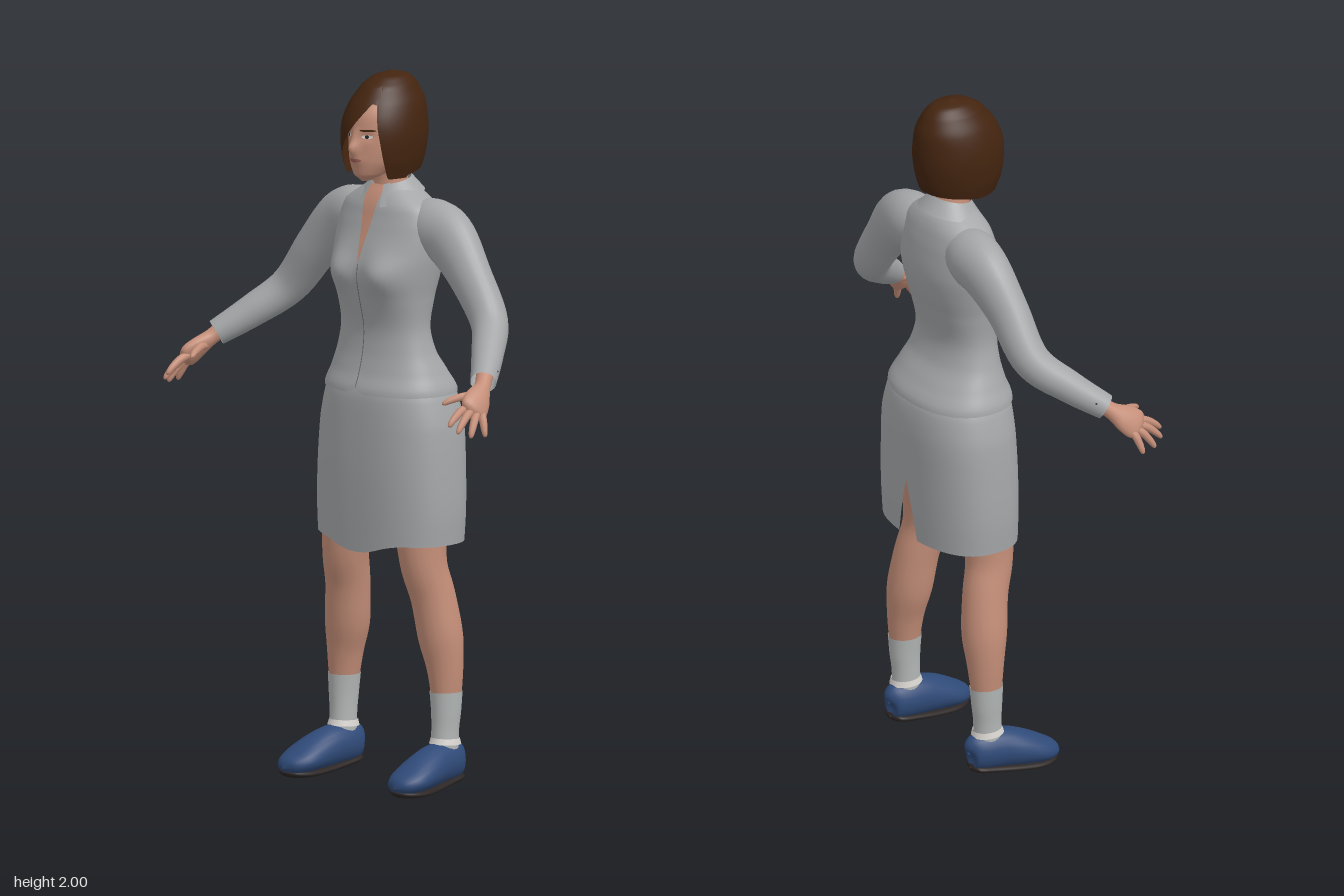
import * as THREE from 'three';
import { mergeVertices } from 'three/addons/utils/BufferGeometryUtils.js';

const mat = (name, color) => new THREE.MeshStandardMaterial({ name, color, side: THREE.DoubleSide });
const M = {
  cloth: mat('grey cloth', 0xa4a6a8), skin: mat('skin', 0xc48e78), hair: mat('brown hair', 0x43240f),
  shoe: mat('blue shoe', 0x2f4a78), sole: mat('dark sole', 0x2b2524), sock: mat('pale sock', 0xb2b6b5),
  lips: mat('lips', 0xa0605a), eye: mat('eye white', 0xd8d4d0), seam: mat('seam grey', 0x6c6e70),
};
const gauss = (x, s) => Math.exp(-((x / s) ** 2));

// Smooth interpolation through rows of numbers, t from 0 to 1
function along(rows, t) {
  const f = t * (rows.length - 1), i = Math.min(Math.floor(f), rows.length - 2), k = f - i;
  const at = (j) => rows[Math.max(0, Math.min(rows.length - 1, j))];
  return rows[i].map((_, c) => {
    const [a, b, d, e] = [at(i - 1)[c], at(i)[c], at(i + 1)[c], at(i + 2)[c]];
    return b + 0.5 * k * (d - a + k * (2 * a - 5 * b + 4 * d - e + k * (3 * (b - d) + e - a)));
  });
}
// Row [y, halfWidth, zFront, zBack] at a height, for rows listed from top to bottom
function atHeight(rows, y) {
  let i = 0;
  while (i < rows.length - 2 && y < rows[i + 1][0]) i++;
  const k = THREE.MathUtils.clamp((rows[i][0] - y) / (rows[i][0] - rows[i + 1][0]), 0, 1);
  return along(rows, (i + k) / (rows.length - 1));
}
const pw = (v, p) => Math.sign(v) * Math.abs(v) ** p;
// Point on a horizontal section at angle a (0 is the front)
function section(rows, y, a, p = 1, bump = () => 0) {
  const [, w, f, b] = atHeight(rows, y), x = Math.max(w, 0) * pw(Math.sin(a), p), c = pw(Math.cos(a), p);
  return [x, y, (f + b) / 2 + ((f - b) / 2) * c + (c > 0 ? bump(x, y) * Math.min(1, c * 2) : 0)];
}
// Surface from a rule fn(u, v): u runs to the right, v runs down
function grid(nu, nv, fn) {
  const pos = [], idx = [];
  for (let j = 0; j <= nv; j++) for (let i = 0; i <= nu; i++) pos.push(...fn(i / nu, j / nv));
  for (let j = 0; j < nv; j++) for (let i = 0; i < nu; i++) {
    const a = j * (nu + 1) + i, b = a + nu + 1;
    idx.push(a, b, a + 1, b, b + 1, a + 1);
  }
  const g = new THREE.BufferGeometry();
  g.setAttribute('position', new THREE.Float32BufferAttribute(pos, 3));
  g.setIndex(idx);
  const m = mergeVertices(g, 1e-5);
  m.computeVertexNormals();
  return m;
}
// Elliptical sweep through stations [x, y, z, radius toward ref, radius across]
function sweep(st, ref = [0, 0, 1], nu = 20, nv = 28) {
  const P = (t) => new THREE.Vector3(...along(st, THREE.MathUtils.clamp(t, 0, 1)));
  return grid(nu, nv, (u, v) => {
    const s = along(st, v), T = P(v + 0.02).sub(P(v - 0.02)).normalize();
    const N = new THREE.Vector3(...ref).addScaledVector(T, -T.dot(new THREE.Vector3(...ref))).normalize();
    const B = N.clone().cross(T), a = u * Math.PI * 2;
    return P(v).addScaledVector(N, s[3] * Math.cos(a)).addScaledVector(B, s[4] * Math.sin(a)).toArray();
  });
}

const TORSO = [[1.69, 0.06, -0.045, -0.135], [1.66, 0.105, -0.025, -0.165], [1.63, 0.15, -0.01, -0.18],
  [1.58, 0.172, 0.005, -0.192], [1.5, 0.172, 0.03, -0.2], [1.44, 0.163, 0.04, -0.192], [1.38, 0.152, 0.033, -0.175],
  [1.29, 0.145, 0.015, -0.155], [1.22, 0.16, 0.02, -0.17], [1.16, 0.185, 0.035, -0.208], [1.115, 0.204, 0.052, -0.235]];
const SKIRT = [[1.16, 0.175, 0.025, -0.195], [1.1, 0.202, 0.042, -0.228], [1.02, 0.222, 0.048, -0.24],
  [0.9, 0.231, 0.052, -0.24], [0.78, 0.234, 0.052, -0.237], [0.65, 0.228, 0.05, -0.232]];
const HEAD = [[1.98, 0.005, -0.05, -0.09], [1.95, 0.055, 0, -0.14], [1.9, 0.075, 0.04, -0.16], [1.85, 0.079, 0.05, -0.16],
  [1.8, 0.076, 0.051, -0.145], [1.755, 0.062, 0.05, -0.11], [1.72, 0.038, 0.043, -0.06], [1.703, 0.012, 0.025, -0.01]];
const HAIR = [[2, 0.002, -0.088, -0.092], [1.988, 0.04, -0.035, -0.145], [1.965, 0.063, 0.004, -0.172],
  [1.92, 0.089, 0.042, -0.194], [1.87, 0.103, 0.066, -0.2], [1.82, 0.107, 0.071, -0.199], [1.76, 0.1, 0.065, -0.188], [1.7, 0.085, 0.045, -0.168]];

const bust = (x, y) => 0.028 * gauss(Math.abs(x) - 0.08, 0.055) * gauss(y - 1.445, 0.055);
const features = (x, y) => 0.024 * gauss(x, 0.013) * gauss(y - 1.797, 0.02) + 0.009 * gauss(x, 0.011) * gauss(y - 1.825, 0.025)
  - 0.006 * gauss(Math.abs(x) - 0.034, 0.016) * gauss(y - 1.832, 0.013) + 0.005 * gauss(x, 0.022) * gauss(y - 1.765, 0.014);
// Thin patch lying on the front of a body; edges(v) gives [y, xLeft, xRight]
const patch = (rows, p, bump, edges, lift = 0.003) => grid(10, 14, (u, v) => {
  const [y, x0, x1] = edges(v), x = x0 + (x1 - x0) * u, w = atHeight(rows, y)[1];
  const q = section(rows, y, Math.asin(pw(THREE.MathUtils.clamp(x / w, -1, 1), 1 / p)), p, bump);
  return [q[0], q[1], q[2] + lift];
});
const oval = (cx, cy, rx, ry, lift) => patch(HEAD, 1, features, (v) => {
  const k = 1 - 2 * v, h = rx * Math.sqrt(Math.max(0, 1 - k * k));
  return [cy + k * ry, cx - h, cx + h];
}, lift);
// Lower edge of the hair, by sideways position: a swept fringe and an open face
const HEM = [[-1, 1.72], [-0.058, 1.715], [-0.05, 1.775], [0.0, 1.852], [0.048, 1.925], [0.06, 1.92], [0.077, 1.77], [0.084, 1.712], [1, 1.72]];
function hairHem(a) {
  if (Math.cos(a) < 0) return 1.718 - 0.018 * Math.cos(a);
  const x = 0.1 * Math.sin(a), i = HEM.findIndex((h) => h[0] >= x), [p, q] = [HEM[i - 1], HEM[i]];
  return p[1] + ((q[1] - p[1]) * (x - p[0])) / (q[0] - p[0]);
}

export function createModel() {
  const root = new THREE.Group();
  root.name = 'woman';
  const add = (name, geo, m, parent = root) => {
    const mesh = new THREE.Mesh(geo, m);
    mesh.name = name;
    parent.add(mesh);
    return mesh;
  };
  const turn = (u) => (u * 2 - 1) * Math.PI;

  // Jacket with open neckline, front seam and turned-down collar
  add('jacket', grid(64, 56, (u, v) => {
    const a = turn(u), low = 1.108 + 0.012 * gauss(a, 0.06);
    return section(TORSO, 1.69 + (low - 1.69) * v, a, 0.88, bust);
  }), M.cloth);
  add('neckline', patch(TORSO, 0.88, bust, (v) => [1.685 - 0.215 * v, -0.036 * (1 - v), 0.03 * (1 - v)]), M.skin);
  add('frontSeam', patch(TORSO, 0.88, bust, (v) => [1.47 - 0.345 * v, -0.0015, 0.0015], 0.002), M.seam);
  add('collar', grid(40, 6, (u, v) => {
    const a = 0.38 + u * (Math.PI * 2 - 0.76), front = (1 + Math.cos(a)) / 2, r = 0.056 + 0.037 * v;
    return [r * 1.08 * Math.sin(a), 1.712 - 0.025 * front - v * (0.04 + 0.022 * front ** 3),
      -0.092 + 0.006 * front + r * 0.92 * Math.cos(a)];
  }), M.cloth);

  // Skirt with pointed front hem and a slit at the back
  add('skirt', grid(72, 40, (u, v) => {
    const low = 0.692 - 0.03 * gauss(u - 0.5, 0.06), y = 1.16 + (low - 1.16) * v;
    const gap = 0.13 * Math.max(0, (0.86 - y) / 0.17);
    return section(SKIRT, y, turn(u) * (1 - gap / Math.PI), 0.82);
  }), M.cloth);

  // Neck, head and face
  add('neck', sweep([[0, 1.8, -0.075, 0.05, 0.05], [0, 1.72, -0.085, 0.046, 0.048], [0, 1.67, -0.09, 0.052, 0.055], [0, 1.6, -0.09, 0.06, 0.07]]), M.skin);
  add('head', grid(64, 64, (u, v) => section(HEAD, 1.98 - 0.277 * v, turn(u), 1, features)), M.skin);
  for (const s of [1, -1]) {
    add('eyeWhite', oval(0.034 * s, 1.832, 0.014, 0.005, 0.002), M.eye);
    add('iris', oval(0.034 * s, 1.832, 0.005, 0.005, 0.004), M.sole);
    add('eyebrow', oval(0.036 * s, 1.85, 0.019, 0.0035, 0.003), M.hair);
  }
  add('lips', oval(0, 1.765, 0.022, 0.006, 0.002), M.lips);
  add('hair', grid(128, 40, (u, v) => {
    const a = turn(u), y = 2 + (hairHem(a) - 2) * v ** 1.4;
    return section(HAIR, y, a);
  }), M.hair);

  for (const s of [1, -1]) {
    const side = s > 0 ? 'left' : 'right';
    const limb = new THREE.Group(), leg = new THREE.Group();
    limb.name = side + 'Arm';
    leg.name = side + 'Leg';
    root.add(limb, leg);
    const m = (st) => st.map(([x, ...r]) => [x * s, ...r]);

    // Sleeve
    add('sleeve', sweep(m([[0.07, 1.575, -0.11, 0.06, 0.065], [0.14, 1.57, -0.112, 0.073, 0.084], [0.21, 1.545, -0.112, 0.066, 0.083],
      [0.295, 1.46, -0.1, 0.056, 0.066], [0.385, 1.345, -0.085, 0.052, 0.054], [0.455, 1.272, -0.008, 0.045, 0.046],
      [0.517, 1.212, 0.072, 0.036, 0.037]]), [0, 0, 1], 24, 40), M.cloth, limb);
    for (let i = 0; i < 3; i++) {
      add('cuffButton', new THREE.SphereGeometry(0.005, 8, 6), M.sole, limb)
        .position.set(s * (0.505 + 0.012 * i), 1.262 - 0.012 * i, -0.002 + 0.017 * i);
    }

    // Hand: palm, four fingers and a thumb
    add('palm', sweep(m([[0.505, 1.225, 0.055, 0.024, 0.024], [0.525, 1.2, 0.085, 0.024, 0.022], [0.543, 1.172, 0.122, 0.04, 0.022],
      [0.556, 1.148, 0.152, 0.04, 0.018], [0.562, 1.138, 0.164, 0.004, 0.004]])), M.skin, limb);
    [[0.541, 1.155, 0.168, 0.546, 1.112, 0.238], [0.555, 1.147, 0.16, 0.568, 1.094, 0.226], [0.565, 1.138, 0.148, 0.586, 1.08, 0.192],
      [0.568, 1.135, 0.13, 0.596, 1.078, 0.145], [0.522, 1.18, 0.115, 0.486, 1.163, 0.203]].forEach(([a, b, c, d, e, f], i) => {
      const mix = (k) => [a + (d - a) * k, b + (e - b) * k + 0.008 * Math.sin(k * Math.PI), c + (f - c) * k];
      add(i < 4 ? 'finger' : 'thumb', sweep(m([[...mix(-0.2), 0.011, 0.011], [...mix(0.3), 0.0115, 0.0115],
        [...mix(0.75), 0.0095, 0.0095], [...mix(0.95), 0.006, 0.006], [...mix(1), 0.0005, 0.0005]]), [0, 0.3, 1], 10, 14), M.skin, limb);
    });

    // Leg and sock
    add('bareLeg', sweep(m([[0.115, 0.95, -0.085, 0.09, 0.09], [0.135, 0.78, -0.07, 0.08, 0.078], [0.15, 0.64, -0.065, 0.068, 0.064],
      [0.165, 0.54, -0.088, 0.064, 0.062], [0.18, 0.43, -0.102, 0.063, 0.064], [0.193, 0.34, -0.107, 0.052, 0.051], [0.199, 0.24, -0.107, 0.042, 0.038]])), M.skin, leg);
    add('sock', sweep(m([[0.197, 0.275, -0.107, 0.049, 0.043], [0.198, 0.22, -0.106, 0.045, 0.039], [0.197, 0.16, -0.103, 0.041, 0.036],
      [0.197, 0.08, -0.1, 0.044, 0.037]])), M.sock, leg);

    // Shoe upper over a flat dark sole
    add('shoe', sweep(m([[0.194, 0.078, -0.163, 0.006, 0.006], [0.194, 0.081, -0.154, 0.046, 0.032], [0.196, 0.078, -0.12, 0.056, 0.046],
      [0.2, 0.075, -0.06, 0.058, 0.053], [0.208, 0.062, 0, 0.05, 0.06], [0.213, 0.045, 0.06, 0.036, 0.06],
      [0.215, 0.034, 0.1, 0.023, 0.038], [0.215, 0.03, 0.115, 0.003, 0.004]]), [0, 1, 0], 24, 32), M.shoe, leg);
    add('sole', sweep(m([[0.194, 0.035, -0.158, 0.003, 0.006], [0.195, 0.033, -0.145, 0.012, 0.036], [0.198, 0.025, -0.09, 0.013, 0.045],
      [0.206, 0.016, -0.01, 0.013, 0.054], [0.213, 0.013, 0.05, 0.013, 0.056], [0.215, 0.015, 0.095, 0.011, 0.036],
      [0.215, 0.02, 0.112, 0.002, 0.004]]), [0, 1, 0], 20, 24), M.sole, leg);
    add('shoeTrim', sweep(m([[0.197, 0.145, -0.104, 0.043, 0.038], [0.197, 0.128, -0.103, 0.048, 0.042]]), [0, 0, 1], 20, 2), M.eye, leg);
  }
  return root;
}
